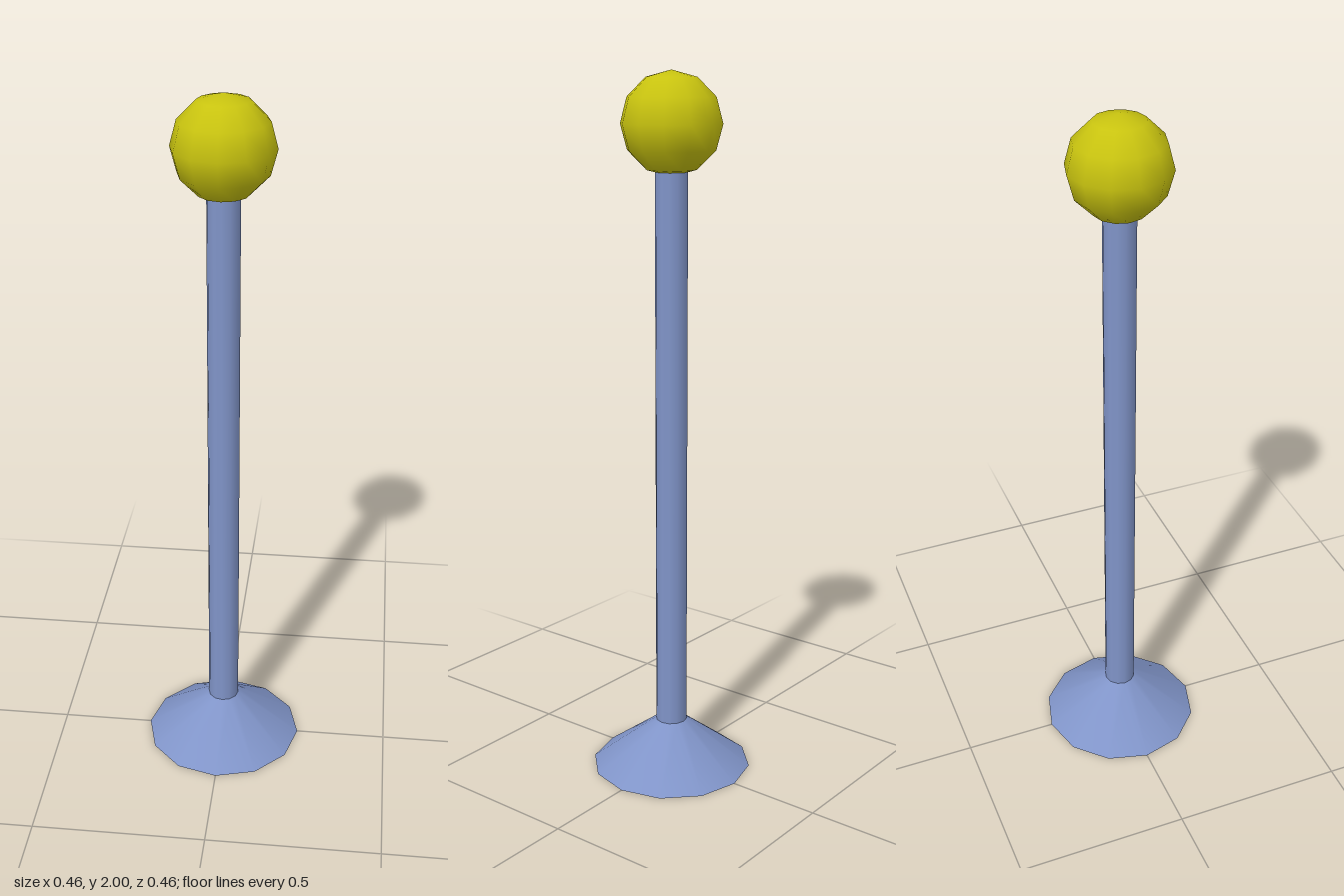
import * as THREE from 'three';

export function createModel() {
  const group = new THREE.Group();
  const blue = new THREE.MeshStandardMaterial({ color: 0x8094c8 });
  const yellow = new THREE.MeshStandardMaterial({ color: 0xc8c30f });
  const sides = 12;

  const add = (name, geometry, material, y) => {
    const mesh = new THREE.Mesh(geometry, material);
    mesh.name = name;
    mesh.position.y = y;
    group.add(mesh);
  };

  const baseHeight = 0.14, poleRadius = 0.045, ballRadius = 0.139;
  const ballY = 2 - ballRadius;
  const poleTop = 1.74; // just inside the underside of the ball

  // Flared foot, closed underneath
  add('base', new THREE.CylinderGeometry(poleRadius, 0.232, baseHeight, sides), blue, baseHeight / 2);

  // Slender upright
  add('pole', new THREE.CylinderGeometry(poleRadius, poleRadius, poleTop - baseHeight, sides),
    blue, (poleTop + baseHeight) / 2);

  // Ball finial
  add('ball', new THREE.SphereGeometry(ballRadius, sides, 6), yellow, ballY);

  return group;
}
